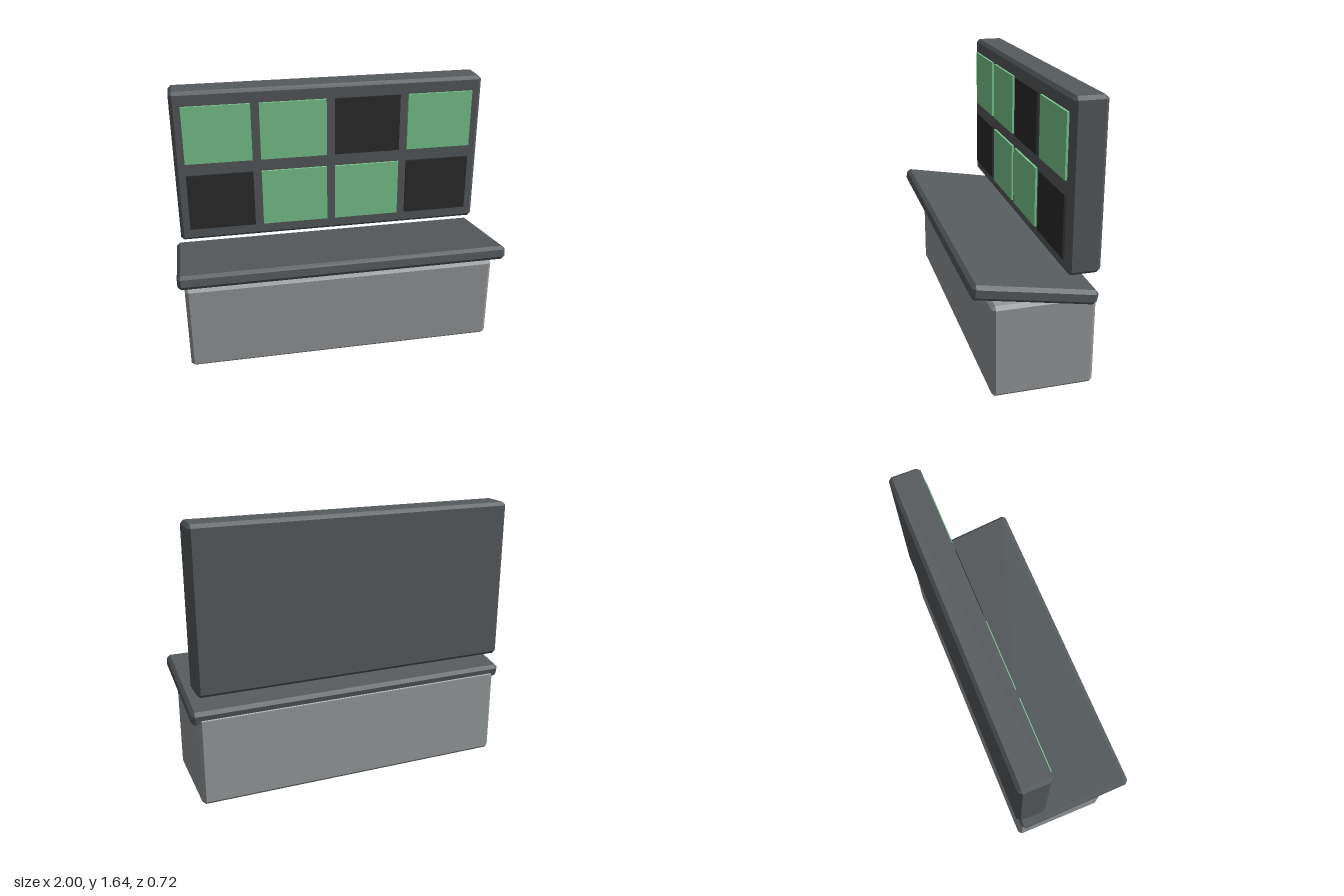
import * as THREE from 'three';
import { ConvexGeometry } from 'three/addons/geometries/ConvexGeometry.js';

const mat = (name, color) => {
  const m = new THREE.MeshStandardMaterial({ color });
  m.name = name;
  return m;
};

// Box with every edge cut by a flat chamfer c
function chamferBox(w, h, d, c) {
  const x = w / 2, y = h / 2, z = d / 2, pts = [];
  for (const sx of [-1, 1]) for (const sy of [-1, 1]) for (const sz of [-1, 1]) {
    pts.push(
      new THREE.Vector3(sx * x, sy * (y - c), sz * (z - c)),
      new THREE.Vector3(sx * (x - c), sy * y, sz * (z - c)),
      new THREE.Vector3(sx * (x - c), sy * (y - c), sz * z));
  }
  return new ConvexGeometry(pts);
}

export function createModel() {
  const group = new THREE.Group();
  const lightGrey = mat('light grey', 0x979a9c);
  const darkGrey = mat('dark grey', 0x565b5e);
  const green = mat('lit green', 0x7dcb92);
  const black = mat('unlit black', 0x2d2d2d);

  const add = (name, geometry, material, x, y, z) => {
    const mesh = new THREE.Mesh(geometry, material);
    mesh.name = name;
    mesh.position.set(x, y, z);
    group.add(mesh);
    return mesh;
  };

  // Console body with a tilted desk top
  add('base', chamferBox(1.93, 0.55, 0.585, 0.02), lightGrey, 0, 0.277, -0.052);
  const desk = add('deskTop', chamferBox(2, 0.085, 0.71, 0.02), darkGrey, 0, 0.606, 0.009);
  desk.rotation.x = -THREE.MathUtils.degToRad(10);

  // Upright display board
  add('displayBoard', chamferBox(1.93, 0.965, 0.19, 0.02), darkGrey, 0, 1.161, -0.266);

  // Two rows of screens, some lit
  const rows = [[1, 1, 0, 1], [0, 1, 1, 0]];
  const screen = new THREE.BoxGeometry(0.412, 0.36, 0.02);
  rows.forEach((row, r) => row.forEach((lit, c) => {
    add(lit ? 'litScreen' : 'darkScreen', screen, lit ? green : black,
      (c - 1.5) * 0.464, r ? 0.938 : 1.376, -0.168);
  }));

  return group;
}
